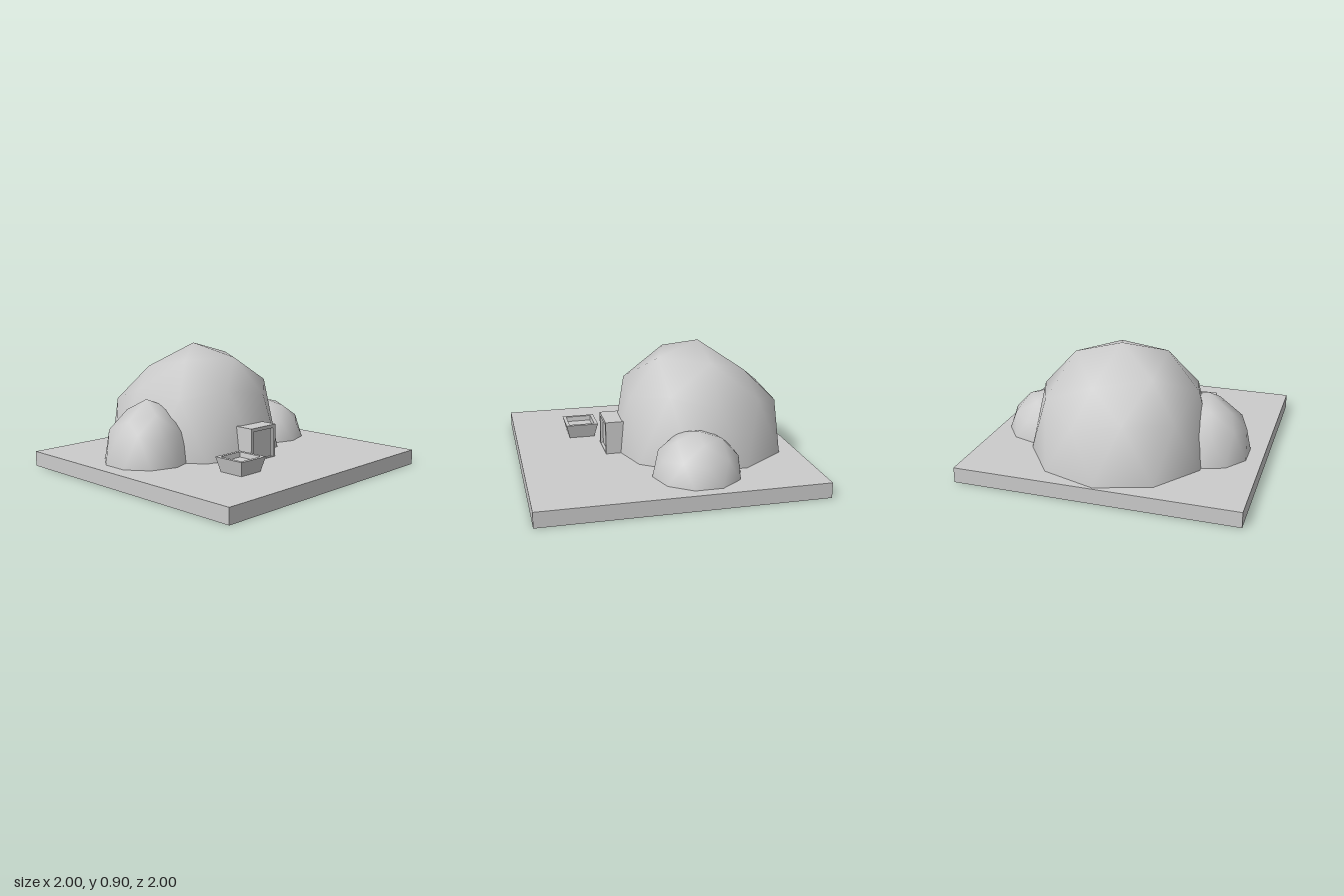
import * as THREE from 'three';

const GROUND = 0.11;
const smooth = new THREE.MeshStandardMaterial({ color: 0xcccccc, side: THREE.DoubleSide });
const flat = new THREE.MeshStandardMaterial({ color: 0xcccccc, side: THREE.DoubleSide, flatShading: true });

function part(name, geometry, material, x = 0, y = 0, z = 0) {
  const mesh = new THREE.Mesh(geometry, material);
  mesh.name = name;
  mesh.position.set(x, y, z);
  return mesh;
}

// Half icosphere, pole up: peak, 5 upper points, 10 middle points, 10 base points.
// lift(ring, cos, sin) shifts single points up or down to make the dome uneven.
function dome(radius, height, phase = 0, lift = () => 0) {
  const pos = [0, height, 0];
  const index = [];
  const add = (ring, angle, r, u) => {
    const c = Math.cos(angle + phase), s = Math.sin(angle + phase);
    pos.push(c * r * radius, u * height + lift(ring, c, s), s * r * radius);
  };
  const step = Math.PI / 5;
  for (let k = 0; k < 5; k++) add(1, 2 * k * step, 0.526, 0.851);
  for (let j = 0; j < 10; j++) add(2, j * step, j % 2 ? 0.851 : 0.894, j % 2 ? 0.526 : 0.447);
  for (let j = 0; j < 10; j++) add(3, (j + 0.5) * step, 1, 0);
  const upper = k => 1 + (k % 5), middle = j => 6 + (j % 10), base = j => 16 + (j % 10);
  for (let k = 0; k < 5; k++) {
    const a = upper(k), b = upper(k + 1), m = middle(2 * k + 1);
    index.push(0, b, a, a, m, middle(2 * k), b, middle(2 * k + 2), m, a, b, m);
  }
  for (let j = 0; j < 10; j++) {
    index.push(middle(j), middle(j + 1), base(j), middle(j + 1), base(j + 1), base(j));
  }
  const geo = new THREE.BufferGeometry();
  geo.setAttribute('position', new THREE.Float32BufferAttribute(pos, 3));
  geo.setIndex(index);
  geo.computeVertexNormals();
  return geo;
}

export function createModel() {
  const model = new THREE.Group();
  model.name = 'domeHouse';

  // Ground slab, open underneath
  const slab = new THREE.BoxGeometry(2, GROUND, 2);
  const faces = Array.from(slab.index.array);
  faces.splice(18, 6);
  slab.setIndex(faces);
  slab.clearGroups();
  model.add(part('groundSlab', slab, flat, 0, GROUND / 2, 0));

  // Main dome: fuller at the front and sides, sagging at the back
  const mainLift = (ring, c, s) => {
    if (ring === 3) return 0;
    const sag = Math.max(0, -s);
    return ring === 1 ? 0.023 - 0.13 * sag : 0.08 - 0.095 * sag;
  };
  model.add(part('mainDome', dome(0.65, 0.79, 0, mainLift), smooth, 0, GROUND, -0.333));

  // Side domes: a low one on the left, a taller one with a sunken outer shoulder on the right
  model.add(part('leftDome', dome(0.315, 0.305), smooth, 0.62, GROUND, -0.162));
  const rightLift = (ring, c) => (ring === 1 ? -0.07 * Math.max(0, -c) : 0);
  model.add(part('rightDome', dome(0.312, 0.442, Math.PI, rightLift), smooth, -0.593, GROUND, -0.198));

  // Doorway: square frame with a recessed panel
  const door = new THREE.Group();
  door.name = 'doorway';
  const frame = new THREE.Shape();
  frame.moveTo(-0.13, 0).lineTo(0.13, 0).lineTo(0.13, 0.24).lineTo(-0.13, 0.24).closePath();
  const hole = new THREE.Path();
  hole.moveTo(-0.105, 0.005).lineTo(-0.105, 0.215).lineTo(0.105, 0.215).lineTo(0.105, 0.005).closePath();
  frame.holes.push(hole);
  door.add(part('doorFrame', new THREE.ExtrudeGeometry(frame, { depth: 0.23, bevelEnabled: false }), flat, 0, 0, 0.155));
  door.add(part('doorPanel', new THREE.BoxGeometry(0.21, 0.21, 0.02), flat, 0, 0.11, 0.355));
  door.position.y = GROUND;
  model.add(door);

  // Square planter, tapering to the foot, with a shallow well
  const q = Math.SQRT2;
  const profile = [[0, 0], [0.095, 0], [0.121, 0.105], [0.095, 0.105], [0.09, 0.07], [0, 0.07]]
    .map(([r, y]) => new THREE.Vector2(r * q, y));
  model.add(part('planter', new THREE.LatheGeometry(profile, 4, Math.PI / 4), flat, -0.366, GROUND, 0.502));

  return model;
}
